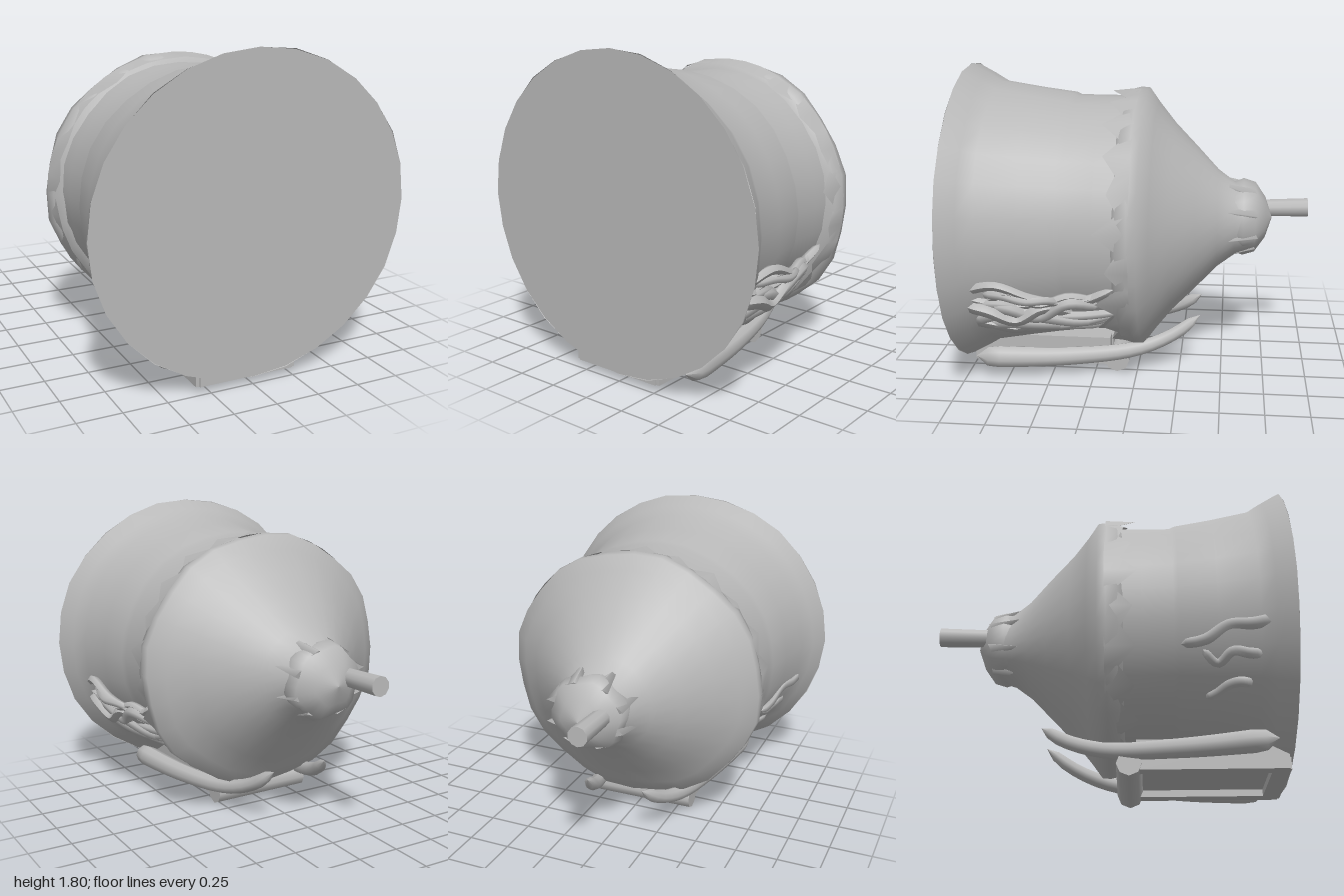
import * as THREE from 'three';

// A round hut lying on its back: its own "up" runs along -z.
export function createModel() {
  const model = new THREE.Group();
  const clay = new THREE.MeshStandardMaterial({ color: 0xb8b8b8, side: THREE.DoubleSide });
  clay.name = 'greyClay';

  let seed = 7;
  const rand = () => (seed = (seed * 16807) % 2147483647) / 2147483647;
  const add = (name, geometry, parent = model) => {
    const mesh = new THREE.Mesh(geometry, clay);
    mesh.name = name;
    parent.add(mesh);
    return mesh;
  };
  const V = (p) => new THREE.Vector3(...p);

  // Turned body from [radius, z] pairs, slightly squashed in y and rippled by hand
  const turned = (profile, centreY, squash, ripple = 0, folds = 7) => {
    const g = new THREE.LatheGeometry(profile.map(([r, z]) => new THREE.Vector2(r, -z)), 28);
    g.rotateX(-Math.PI / 2);
    const p = g.attributes.position;
    for (let i = 0; i < p.count; i++) {
      const a = Math.atan2(p.getY(i), p.getX(i));
      const k = 1 + ripple * Math.sin(folds * a + 5 * p.getZ(i));
      p.setXY(i, p.getX(i) * k, p.getY(i) * k * squash + centreY);
    }
    return g;
  };

  // Limb swept along a curve, tapering, with blunt closed ends
  const limb = (points, radius, taper = 1, sides = 8) => {
    const curve = new THREE.CatmullRomCurve3(points.map(V));
    const n = 20;
    const g = new THREE.TubeGeometry(curve, n, radius, sides);
    const p = g.attributes.position;
    const v = new THREE.Vector3();
    for (let i = 0; i < p.count; i++) {
      const ring = Math.floor(i / (sides + 1));
      const c = curve.getPointAt(ring / n);
      const fromEnd = Math.min(ring, n - ring);
      const end = fromEnd === 0 ? 0 : fromEnd === 1 ? 0.85 : 1;
      const k = end * (1 + (taper - 1) * (ring / n));
      v.fromBufferAttribute(p, i).sub(c).multiplyScalar(k).add(c);
      p.setXYZ(i, v.x, v.y, v.z);
    }
    g.computeVertexNormals();
    return g;
  };

  // Flared wall and flat base
  add('wall', turned([[0.92, 1], [0.865, 0.9], [0.815, 0.82], [0.775, 0.6], [0.745, 0.4],
    [0.73, 0.37], [0.73, 0.2], [0.73, 0.02]], 0.92, 0.955, 0.005));
  const base = new THREE.CircleGeometry(0.92, 28);
  base.scale(1, 0.955, 1).translate(0, 0.92, 1);
  add('base', base);

  // Roof with its soffit
  add('roof', turned([[0.72, 0.1], [0.775, 0.07], [0.79, 0.01], [0.785, -0.04], [0.7, -0.1],
    [0.575, -0.2], [0.43, -0.34], [0.3, -0.46], [0.225, -0.56], [0.2, -0.64]], 0.9, 0.965, 0.012, 8));

  // Ragged thatch fringe below the eave
  const count = 44;
  const verts = [];
  const index = [];
  for (let i = 0; i <= count; i++) {
    const a = ((i % count) / count) * Math.PI * 2;
    const drop = i % 2 ? 0.1 + rand() * 0.1 : 0.05 + rand() * 0.04;
    const end = i % count === 0 ? 0.06 : drop;
    for (const [r, z] of [[0.79, 0], [0.765 + 0.015 * (i % 2), end]])
      verts.push(r * Math.cos(a), 0.905 + 0.96 * r * Math.sin(a), z);
    if (i < count) index.push(2 * i, 2 * i + 2, 2 * i + 1, 2 * i + 1, 2 * i + 2, 2 * i + 3);
  }
  const fringe = new THREE.BufferGeometry();
  fringe.setAttribute('position', new THREE.Float32BufferAttribute(verts, 3));
  fringe.setIndex(index);
  fringe.computeVertexNormals();
  add('thatchFringe', fringe);

  // Knot on top of the roof, with loose straw tips and a slightly tilted spout
  add('roofKnot', turned([[0.2, -0.54], [0.225, -0.61], [0.205, -0.68], [0.12, -0.74], [0, -0.78]],
    0.91, 0.96, 0.06, 6));
  for (let i = 0; i < 8; i++) {
    const a = (i / 8) * Math.PI * 2 + 0.4;
    const tip = new THREE.ConeGeometry(0.07, 0.24, 4);
    tip.scale(1, 1, 0.45).rotateX(Math.PI / 2);
    const mesh = add('strawTip', tip);
    mesh.position.set(0.22 * Math.cos(a), 0.91 + 0.21 * Math.sin(a), -0.56);
    mesh.lookAt(mesh.position.x * 1.45, 0.91 + 0.305 * Math.sin(a), -0.3);
  }
  const spout = new THREE.CylinderGeometry(0.057, 0.052, 0.3, 10);
  spout.rotateX(-Math.PI / 2).rotateX(0.04).translate(-0.11, 0.94, -0.847);
  add('spout', spout);

  // Tusk-like beams leaning over the doorway
  add('leftBeam', limb([[0.42, 0.13, 0.94], [0.41, 0.125, 0.85], [0.34, 0.115, 0.4],
    [0.25, 0.14, 0], [0.19, 0.22, -0.22], [0.15, 0.33, -0.37]], 0.07, 0.5));
  add('rightBeam', limb([[-0.44, 0.17, 0.92], [-0.43, 0.165, 0.85], [-0.37, 0.145, 0.4],
    [-0.3, 0.16, 0], [-0.25, 0.23, -0.22], [-0.2, 0.33, -0.37]], 0.07, 0.5));

  // Doorway: jambs, sill, lintel log and recessed door
  const door = new THREE.Group();
  door.name = 'doorway';
  model.add(door);
  const box = (name, w, h, d, x, y, z) =>
    add(name, new THREE.BoxGeometry(w, h, d).translate(x, y, z), door);
  for (const x of [-0.29, 0.23]) box('doorJamb', 0.08, 0.17, 0.82, x, 0.125, 0.57);
  box('doorSill', 0.56, 0.13, 0.1, -0.03, 0.105, 0.94);
  box('doorPanel', 0.46, 0.12, 0.8, -0.03, 0.14, 0.55);
  const lintel = new THREE.CylinderGeometry(0.07, 0.075, 0.62, 8);
  lintel.rotateZ(Math.PI / 2).translate(-0.03, 0.075, 0.12);
  add('doorLintel', lintel, door);

  // Tangled branches: a thick heap against the left wall, a few on the right
  for (const side of [1, -1]) {
    const heap = new THREE.Group();
    heap.name = side > 0 ? 'leftBranches' : 'rightBranches';
    model.add(heap);
    const total = side > 0 ? 15 : 3;
    for (let i = 0; i < total; i++) {
      const y = 0.39 + 0.27 * (i / (total - 1));
      const z0 = 0.92 - rand() * 0.15;
      const z1 = (side > 0 ? 0.06 : 0.3) + rand() * 0.3;
      const bulge = side > 0 ? 0.03 + rand() * 0.07 : 0;
      const pts = [];
      for (let j = 0; j < 5; j++) {
        const z = z0 + (z1 - z0) * (j / 4);
        const yy = y + (rand() - 0.5) * 0.12;
        const r = 0.73 + 0.11 * Math.max(0, z - 0.35);
        const out = bulge * Math.sin((j / 4) * Math.PI) + rand() * 0.02;
        pts.push([side * (r * Math.sqrt(1 - ((yy - 0.92) / (r * 0.955)) ** 2) + out), yy, z]);
      }
      add('branch', limb(pts, 0.025 + rand() * 0.02, 0.7, 5), heap);
    }
  }
  return model;
}
